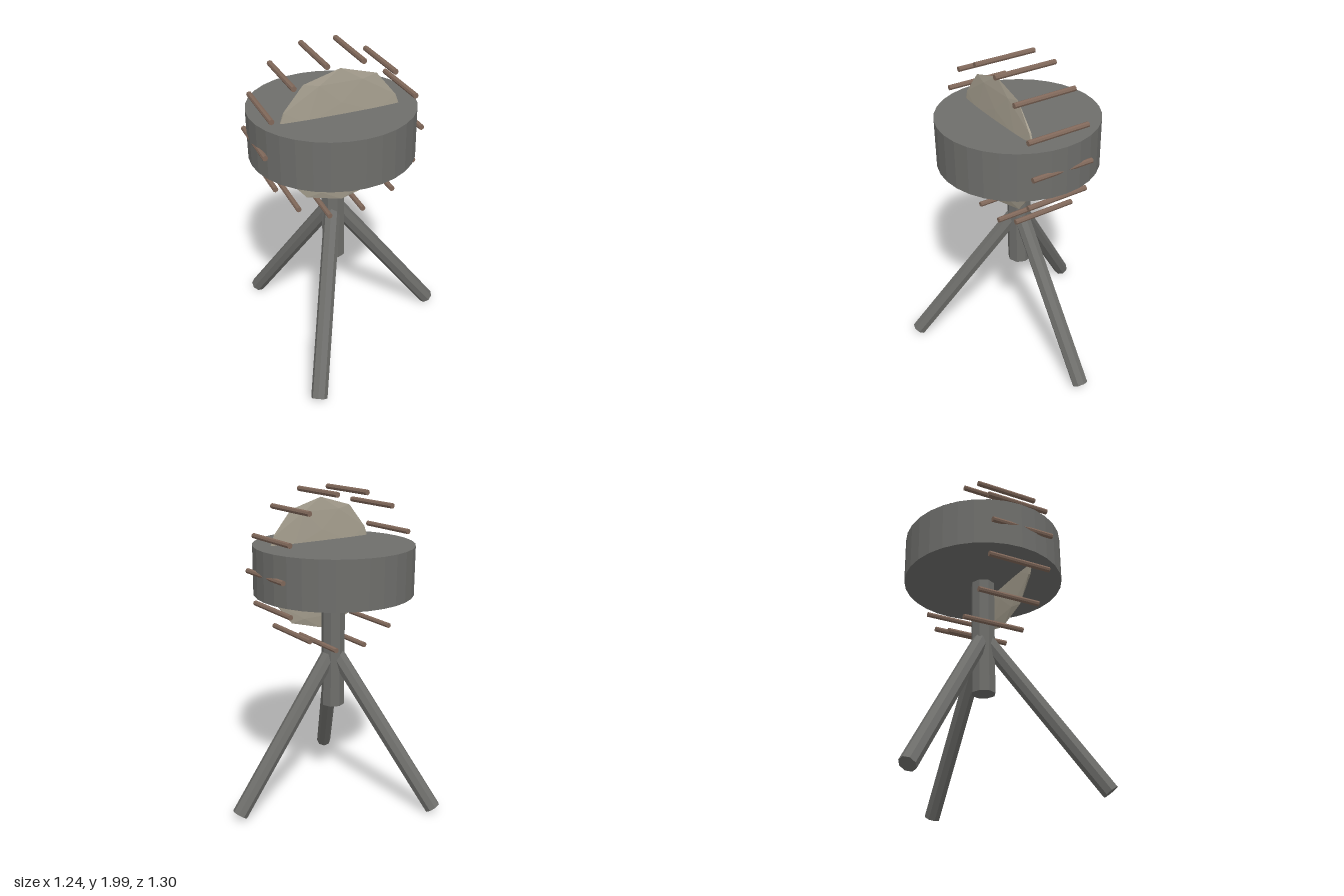
import * as THREE from 'three';

const CX = -0.125; // x of the central post
const HUB_Y = 1.52; // height of the drum and disc centre

export function createModel() {
  const group = new THREE.Group();
  const material = (name, color) => {
    const m = new THREE.MeshStandardMaterial({ color, flatShading: true });
    m.name = name;
    return m;
  };
  const grey = material('dark grey metal', 0x6e6e6b);
  const brown = material('brown rod', 0x80685a);
  const beige = material('beige disc', 0xa69f8f);

  const add = (name, geometry, mat, x, y, z) => {
    const mesh = new THREE.Mesh(geometry, mat);
    mesh.name = name;
    mesh.position.set(x, y, z);
    group.add(mesh);
    return mesh;
  };

  // Drum and post
  add('drum', new THREE.CylinderGeometry(0.495, 0.495, 0.3, 32), grey, CX, HUB_Y, 0);
  add('post', new THREE.CylinderGeometry(0.074, 0.074, 0.76, 8), grey, CX, 1.01, 0);

  // Thin faceted disc standing through the drum
  const disc = new THREE.IcosahedronGeometry(0.415, 1);
  disc.scale(1, 1, 0.05);
  add('disc', disc, beige, CX, HUB_Y, 0.14);

  // Ring of rods parallel to z
  const rodGeometry = new THREE.CylinderGeometry(0.0165, 0.0165, 0.405, 8);
  rodGeometry.rotateX(Math.PI / 2);
  for (let i = 0; i < 14; i++) {
    const a = (i / 14) * Math.PI * 2;
    add('rod' + (i + 1), rodGeometry, brown,
      CX + 0.477 * Math.cos(a), HUB_Y + 0.477 * Math.sin(a), 0.016);
  }

  // Three splayed tripod legs, each hanging from the post axis
  const legGeometry = new THREE.CylinderGeometry(0.05, 0.05, 1.196, 8);
  legGeometry.translate(0, -0.598, 0);
  legGeometry.rotateZ(Math.PI / 5);
  for (let i = 0; i < 3; i++) {
    add('leg' + (i + 1), legGeometry, grey, CX, 1.004, 0).rotation.y = (i / 3) * Math.PI * 2;
  }

  return group;
}
